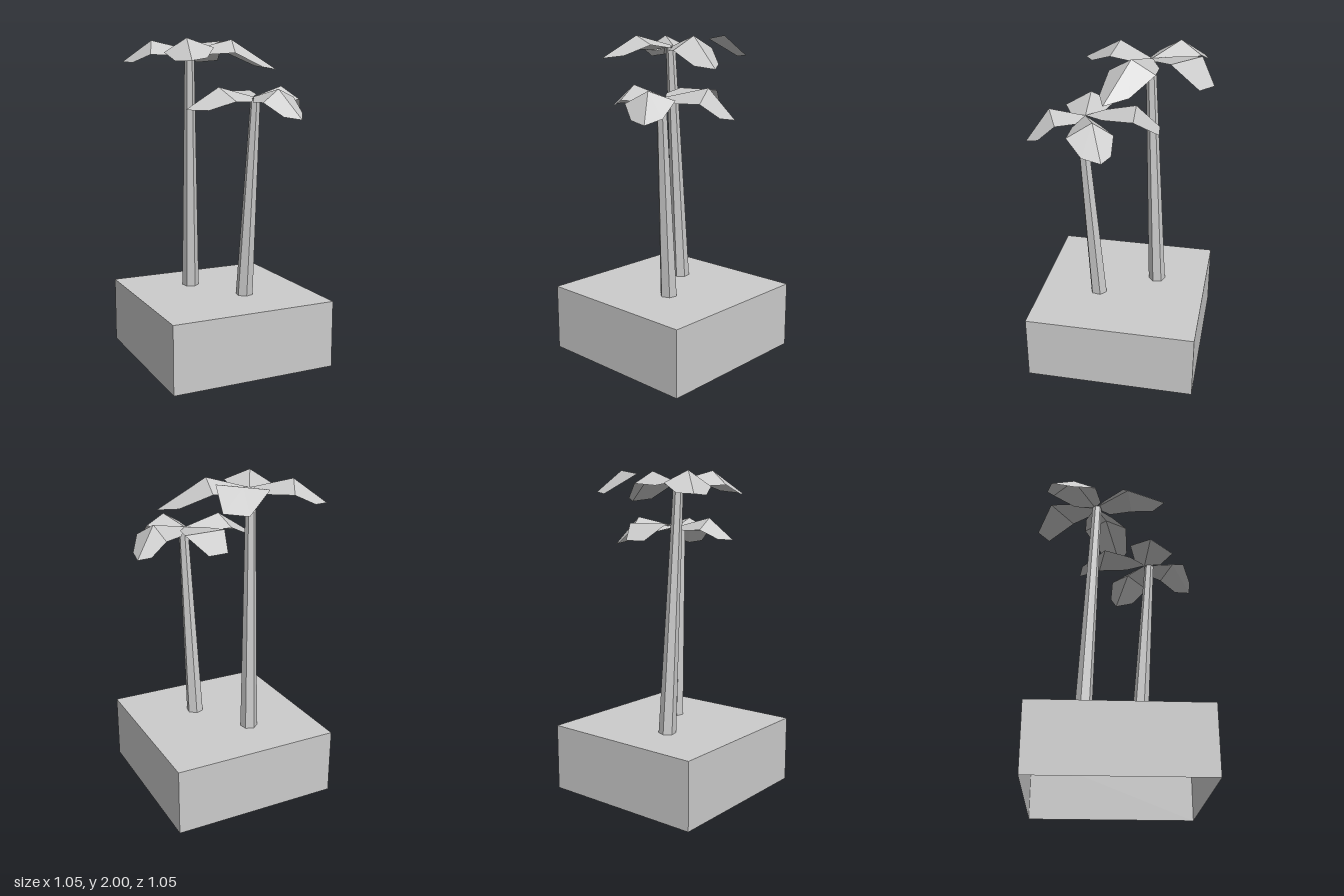
import * as THREE from 'three';

const material = new THREE.MeshStandardMaterial({ color: 0xcccccc, flatShading: true, side: THREE.DoubleSide });
const vec = (p) => new THREE.Vector3(...p);

function addMesh(parent, name, geometry) {
  const mesh = new THREE.Mesh(geometry, material);
  mesh.name = name;
  parent.add(mesh);
}

// Box without its underside
function openBox(width, height, depth) {
  const geometry = new THREE.BoxGeometry(width, height, depth).translate(0, height / 2, 0);
  const index = Array.from(geometry.index.array);
  index.splice(18, 6);
  geometry.setIndex(index);
  geometry.clearGroups();
  return geometry;
}

// Six-sided tapered trunk, leaning by shearing from foot to top
function trunkGeometry(foot, top, turn) {
  const height = top[1] - foot[1];
  const geometry = new THREE.CylinderGeometry(0.03, 0.054, height, 6, 1, false, turn);
  const p = geometry.attributes.position;
  for (let i = 0; i < p.count; i++) {
    const t = p.getY(i) / height + 0.5;
    p.setXYZ(i,
      p.getX(i) + THREE.MathUtils.lerp(foot[0], top[0], t),
      foot[1] + t * height,
      p.getZ(i) + THREE.MathUtils.lerp(foot[2], top[2], t));
  }
  geometry.computeVertexNormals();
  return geometry;
}

// Faceted leaf: a fan around the ridge point, its rim bulging between base, sides and tip
function leafGeometry(baseP, { ridge, tip, a, b, blunt }) {
  const [base, end, sideA, sideB] = [baseP, tip, a, b].map(vec);
  const peak = ridge ? vec(ridge) : sideA.clone().lerp(sideB, 0.5);
  const bulge = (p, q) => {
    const mid = p.clone().lerp(q, 0.5);
    return mid.addScaledVector(mid.clone().sub(peak), 0.25);
  };
  const across = sideB.clone().sub(sideA);
  const endA = blunt ? end.clone().addScaledVector(across, -0.24) : bulge(sideA, end);
  const endB = blunt ? end.clone().addScaledVector(across, 0.24) : bulge(sideB, end);
  const rim = [base, bulge(base, sideA), sideA, endA, end, endB, sideB, bulge(base, sideB)];
  const points = [];
  rim.forEach((p, i) => points.push(peak, p, rim[(i + 1) % rim.length]));
  const geometry = new THREE.BufferGeometry().setFromPoints(points);
  geometry.computeVertexNormals();
  return geometry;
}

// For each leaf, side a to side b runs clockwise seen from above
const palms = [
  {
    name: 'tallPalm', foot: [-0.11, 0.415, -0.2], top: [-0.138, 1.92, -0.13],
    turn: Math.PI / 18, crown: [-0.125, 1.93, -0.14],
    leaves: [
      { name: 'backLeftLeaf', ridge: [-0.33, 1.99, -0.284], tip: [-0.474, 1.86, -0.42], a: [-0.387, 1.9, -0.146], b: [-0.263, 1.92, -0.414] },
      { name: 'frontLeftLeaf', ridge: [-0.24, 1.995, 0.07], tip: [-0.305, 1.86, 0.3], a: [-0.08, 1.94, 0.104], b: [-0.367, 1.91, 0.03] },
      { name: 'rightLeaf', ridge: [0.117, 1.995, -0.06], tip: [0.38, 1.81, 0.048], a: [0.14, 1.92, -0.203], b: [0.077, 1.91, 0.076] },
      { name: 'backLeaf', blunt: true, tip: [0.145, 1.865, -0.49], a: [-0.09, 1.97, -0.436], b: [0.167, 1.995, -0.287] },
    ],
  },
  {
    name: 'shortPalm', foot: [0.108, 0.415, 0.15], top: [0.132, 1.64, 0.235],
    turn: -Math.PI / 18, crown: [0.135, 1.65, 0.205],
    leaves: [
      { name: 'rightLeaf', ridge: [0.38, 1.71, 0.107], tip: [0.516, 1.53, 0.03], a: [0.345, 1.63, -0.005], b: [0.434, 1.63, 0.245] },
      { name: 'frontLeaf', ridge: [0.193, 1.7, 0.405], tip: [0.283, 1.525, 0.526], a: [0.336, 1.65, 0.335], b: [0.063, 1.625, 0.46] },
      { name: 'leftLeaf', ridge: [-0.105, 1.71, 0.225], tip: [-0.305, 1.58, 0.2], a: [-0.063, 1.63, 0.374], b: [-0.13, 1.64, 0.09] },
      { name: 'backLeaf', blunt: true, tip: [0.118, 1.58, -0.228], a: [0.0, 1.68, -0.07], b: [0.27, 1.68, -0.1] },
    ],
  },
];

export function createModel() {
  const model = new THREE.Group();
  model.name = 'palmPlanter';
  addMesh(model, 'planterBase', openBox(1.05, 0.415, 1.05));

  for (const { name, foot, top, turn, crown, leaves } of palms) {
    const palm = new THREE.Group();
    palm.name = name;
    addMesh(palm, 'trunk', trunkGeometry(foot, top, turn));
    for (const leaf of leaves) addMesh(palm, leaf.name, leafGeometry(crown, leaf));
    model.add(palm);
  }
  return model;
}
